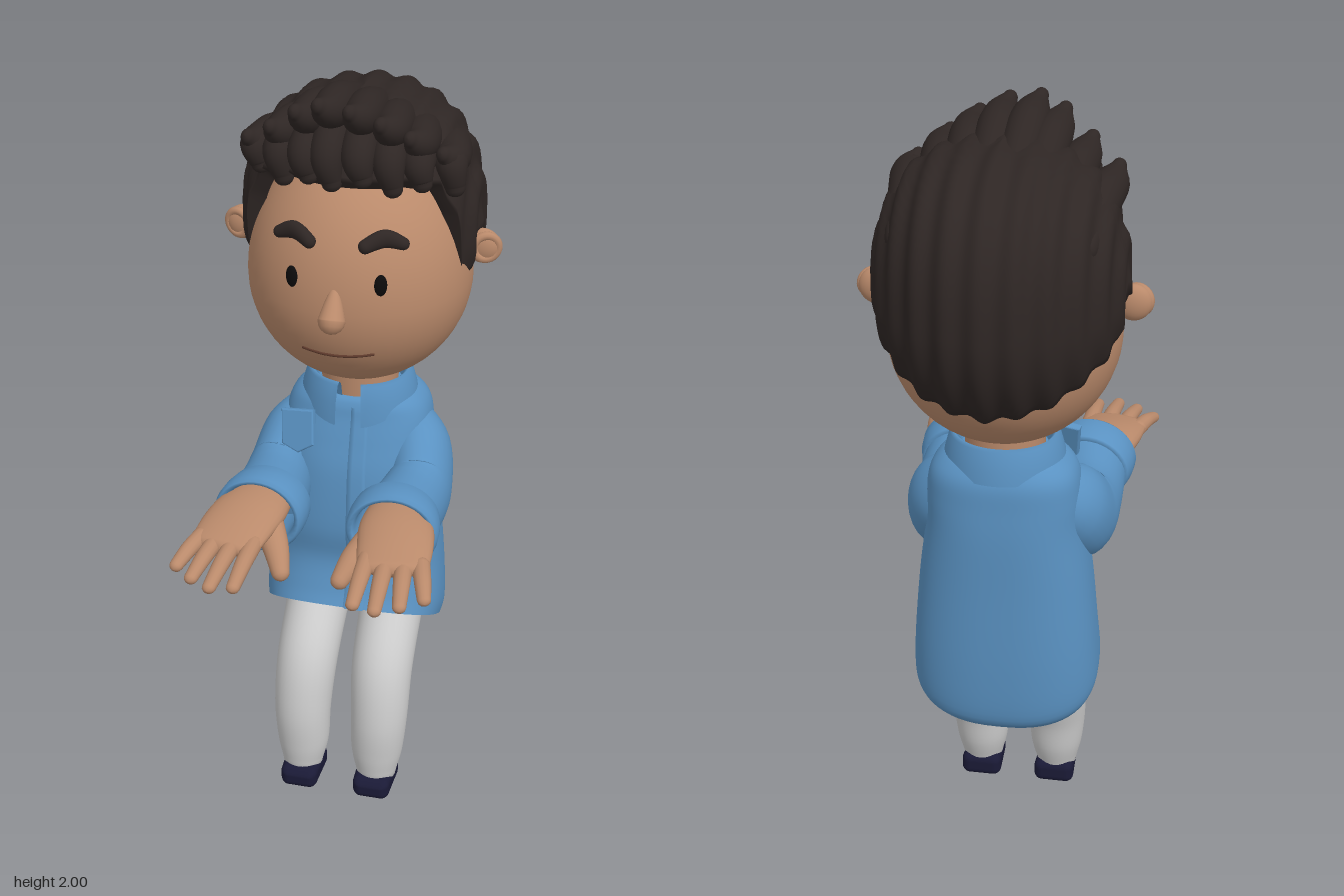
import * as THREE from 'three';
import { RoundedBoxGeometry } from 'three/addons/geometries/RoundedBoxGeometry.js';

const mat = (color, side = THREE.FrontSide) => new THREE.MeshStandardMaterial({ color, side, roughness: 0.8 });
const SKIN = mat(0xba8a6b), HAIR = mat(0x2e2624, THREE.DoubleSide), PANTS = mat(0xcccccc);
const SHIRT = mat(0x5a92c2, THREE.DoubleSide), SHIRT_OUT = mat(0x5a92c2), LINING = mat(0x0a0a0a, THREE.BackSide);
const SHOE = mat(0x1a1a36), DARK = mat(0x0c0b0c), MOUTH = mat(0x5e3a2c);

// Surface from a rule f(u, v) -> [x, y, z]; u can wrap around
function grid(nu, nv, f, wrap = true) {
  const pos = [], idx = [], w = wrap ? nu : nu + 1;
  for (let j = 0; j <= nv; j++) for (let i = 0; i < w; i++) pos.push(...f(i / nu, j / nv));
  for (let j = 0; j < nv; j++) for (let i = 0; i < nu; i++) {
    const a = j * w + i, b = j * w + (i + 1) % w;
    idx.push(a, b, b + w, a, b + w, a + w);
  }
  const g = new THREE.BufferGeometry();
  g.setAttribute('position', new THREE.Float32BufferAttribute(pos, 3));
  g.setIndex(idx);
  g.computeVertexNormals();
  return g;
}

// Smooth interpolation through rows of numbers
function spline(rows, t) {
  const n = rows.length - 1, i = Math.min(Math.floor(t * n), n - 1), k = t * n - i;
  const r = (q) => rows[Math.max(0, Math.min(n, q))];
  return rows[0].map((_, c) => {
    const p0 = r(i - 1)[c], p1 = r(i)[c], p2 = r(i + 1)[c], p3 = r(i + 2)[c], a = (p2 - p0) / 2, b = (p3 - p1) / 2;
    return (2 * p1 - 2 * p2 + a + b) * k ** 3 + (3 * p2 - 3 * p1 - 2 * a - b) * k * k + a * k + p1;
  });
}

// Elliptical sweep through rows [x, y, z, r1, r2]; r1 lies along ref, ends are rounded
function sweep(rows, { seg = 16, sides = 18, caps = true, ref = new THREE.Vector3(1, 0, 0) } = {}) {
  const rings = [], at = (t) => new THREE.Vector3(...spline(rows, t).slice(0, 3));
  const ring = (t, off, s) => {
    const [x, y, z, r1, r2] = spline(rows, t);
    const T = at(Math.min(1, t + 0.01)).sub(at(Math.max(0, t - 0.01))).normalize();
    const N = ref.clone().addScaledVector(T, -ref.dot(T)).normalize(), B = T.clone().cross(N);
    rings.push({ c: new THREE.Vector3(x, y, z).addScaledVector(T, off * Math.min(r1, r2)), N, B, r1: r1 * s, r2: r2 * s });
  };
  const C = [0, 0.25, 0.5, 0.75].map((k) => k * Math.PI / 2);
  if (caps) C.forEach((a) => ring(0, -Math.cos(a), Math.sin(a)));
  for (let i = 0; i <= seg; i++) ring(i / seg, 0, 1);
  if (caps) C.slice().reverse().forEach((a) => ring(1, Math.cos(a), Math.sin(a)));
  return grid(sides, rings.length - 1, (u, v) => {
    const q = rings[Math.round(v * (rings.length - 1))], a = u * Math.PI * 2;
    return q.c.clone().addScaledVector(q.N, q.r1 * Math.cos(a)).addScaledVector(q.B, q.r2 * Math.sin(a)).toArray();
  });
}

const pow = (v, e) => Math.sign(v) * Math.abs(v) ** e;

// Shirt body rows: front y, back y, half width, front z, back z
const TORSO = [
  [0.58, 0.385, 0.235, 0.055, -0.285], [0.62, 0.43, 0.242, 0.035, -0.315], [0.7, 0.58, 0.235, 0.012, -0.325],
  [0.8, 0.8, 0.22, 0.02, -0.325], [0.95, 0.95, 0.2, 0.005, -0.325], [1.04, 1.04, 0.195, -0.02, -0.32],
  [1.1, 1.1, 0.185, -0.04, -0.315], [1.135, 1.135, 0.162, -0.05, -0.3], [1.155, 1.155, 0.125, -0.065, -0.28],
  [1.16, 1.16, 0.07, -0.1, -0.24]];
function torso(a, v) {
  const [yf, yb, hx, zf, zb] = spline(TORSO, v), k = (1 + pow(Math.cos(a), 0.8)) / 2;
  return [hx * pow(Math.sin(a), 0.8), yb + (yf - yb) * k, zb + (zf - zb) * k];
}

// Head ellipsoid: taller above its widest line than below
const HEAD = { y: 1.48, z: -0.17, rx: 0.285, rz: 0.29 };
const headRy = (dy) => (dy > 0 ? 0.345 : 0.285);
const headZ = (x, y) => {
  const dy = y - HEAD.y;
  return HEAD.z + HEAD.rz * Math.sqrt(Math.max(0, 1 - (x / HEAD.rx) ** 2 - (dy / headRy(dy)) ** 2));
};

// Hairline: azimuth from the front and polar angle, in degrees
const HAIRLINE = [[0, 62], [35, 62], [52, 66], [60, 80], [67, 104], [77, 107], [82, 92], [95, 90], [102, 106], [120, 114], [145, 127], [180, 134]];
function hairline(deg) {
  const i = Math.max(1, HAIRLINE.findIndex((p) => p[0] >= deg - 1e-6)), [a, p] = HAIRLINE[i - 1], [b, q] = HAIRLINE[i];
  return p + (q - p) * (deg - a) / (b - a);
}
function hairCap(u, v) {
  const a = u * Math.PI * 2, deg = Math.abs(u > 0.5 ? u * 360 - 360 : u * 360);
  const tuck = v < 0.03, w = tuck ? 0 : (v - 1 / 30) / (29 / 30);
  const p = THREE.MathUtils.degToRad(hairline(deg)) * (1 - w);
  const e = p < Math.PI / 2 ? 0.8 : 1, s = pow(Math.sin(p), e), c = pow(Math.cos(p), e);
  const dx = s * Math.sin(a), dz = s * Math.cos(a);
  const ridge = 1 + 0.018 * Math.cos(Math.asin(THREE.MathUtils.clamp(dx, -1, 1)) * 24);
  const k = tuck ? 0.86 : ridge;
  return [0.302 * dx * k, 1.6 + 0.345 * c * k, -0.2 + (dz > 0 ? 0.255 : 0.35) * dz * k];
}

export function createModel() {
  const model = new THREE.Group();
  const add = (name, geo, material, parent = model) => {
    const m = new THREE.Mesh(geo, material);
    m.name = name;
    parent.add(m);
    return m;
  };
  const up = new THREE.Vector3(0, 1, 0);

  // Head and face
  add('head', grid(48, 32, (u, v) => {
    const a = u * Math.PI * 2, p = Math.PI * (1 - v), c = Math.cos(p), s = Math.sin(p);
    return [HEAD.rx * s * Math.sin(a), HEAD.y + headRy(c) * c, HEAD.z + HEAD.rz * s * Math.cos(a)];
  }), SKIN);
  add('nose', sweep([[0, 1.54, 0.105, 0.012, 0.012], [0, 1.505, 0.122, 0.025, 0.025], [0, 1.475, 0.136, 0.034, 0.037]]), SKIN);
  add('mouth', sweep([-0.085, -0.04, 0.005, 0.05, 0.09].map((x) => {
    const y = 1.358 + x * x;
    return [x, y, headZ(x, y), 0.004, 0.004];
  }), { sides: 8, ref: up }), MOUTH);
  add('neck', new THREE.CylinderGeometry(0.1, 0.1, 0.17, 32), SKIN).position.set(0, 1.165, -0.17);

  // Hair: ridged cap and swept front locks
  add('hairCap', grid(180, 30, hairCap), HAIR);
  [[-0.24, 1.85], [-0.17, 1.9], [-0.1, 1.955], [-0.04, 1.98], [0.035, 1.97], [0.105, 1.94], [0.17, 1.9], [0.24, 1.85]].forEach(([x, y], i) => {
    const zf = 0.045 - 1.7 * x * x;
    add('upperLock', sweep([[x * 0.85, y - 0.09, zf - 0.3, 0.04, 0.04], [x * 0.92, y - 0.045, zf - 0.14, 0.05, 0.055],
      [x, y - 0.025, zf - 0.04, 0.042, 0.042], [x - 0.012, y, zf + 0.005, 0.018, 0.02]]), HAIR);
    add('lowerLock', sweep([[x * 0.9, y - 0.07, zf - 0.13, 0.045, 0.05], [x, 1.855 - Math.abs(x) * 0.15, zf - 0.03, 0.042, 0.045],
      [x + 0.015, 1.805 - (i % 2) * 0.015 - Math.abs(x) * 0.12, zf - 0.012, 0.025, 0.022]]), HAIR);
  });

  // Shirt body, dark inside, placket, collar and chest pocket
  const body = grid(64, 48, (u, v) => torso(u * Math.PI * 2, v));
  add('shirtBody', body, SHIRT_OUT);
  add('shirtLining', body, LINING);
  add('placket', grid(8, 40, (u, v) => {
    const b = u === 0 || u === 1 ? -0.003 : 0.006, [x, y, z] = torso(0.005 + 0.2 * u, v * 0.78);
    return [x, y, z + b];
  }, false), SHIRT);
  const COLLAR = [[0.155, 1.115], [0.15, 1.15], [0.137, 1.198], [0.128, 1.204], [0.118, 1.195], [0.105, 1.13]];
  add('collar', grid(56, 5, (u, v) => {
    const a = 0.22 + u * (Math.PI * 2 - 0.44), [r, y] = COLLAR[Math.round(v * 5)];
    const flap = Math.max(0, Math.cos(a) - 0.7) * (v < 0.1 ? 0.09 : 0);
    return [r * Math.sin(a), y - flap, -0.17 + (r - 0.008) * Math.cos(a)];
  }, false), SHIRT);
  const flap = new THREE.Shape([[-0.04, 0.05], [0.04, 0.05], [0.04, -0.035], [0, -0.055], [-0.04, -0.035]].map((p) => new THREE.Vector2(...p)));
  const pocket = add('chestPocket', new THREE.ExtrudeGeometry(flap, { depth: 0.01, bevelSize: 0.004, bevelThickness: 0.006, bevelSegments: 3 }), SHIRT_OUT);
  pocket.position.set(-0.118, 1.088, 0.01);
  pocket.rotation.set(-0.3, -0.15, 0.08);

  // Paired parts: +1 is the model's left
  for (const s of [1, -1]) {
    const side = new THREE.Group();
    side.name = s > 0 ? 'leftSide' : 'rightSide';
    model.add(side);
    const flip = (rows) => rows.map(([x, ...r]) => [x * s, ...r]);
    const limb = (name, rows, m, opt) => add(name, sweep(flip(rows), opt), m, side);

    // Eye, brow and ear
    const eye = add('eye', new THREE.SphereGeometry(1, 20, 14), DARK, side);
    eye.scale.set(0.016, 0.028, 0.01);
    eye.position.set(0.11 * s, 1.56, headZ(0.11, 1.56) + 0.002);
    eye.rotation.y = 0.4 * s;
    limb('eyebrow', [[0.068, 1.652, 0.018], [0.11, 1.667, 0.023], [0.152, 1.651, 0.016]]
      .map(([x, y, r]) => [x, y, headZ(x, y) + 0.01, r, 0.016]), HAIR, { ref: up });
    const ear = add('ear', new THREE.SphereGeometry(1, 24, 16), SKIN, side);
    ear.scale.set(0.045, 0.046, 0.026);
    ear.position.set(0.308 * s, 1.565, -0.182);
    const rim = add('earRim', new THREE.TorusGeometry(0.031, 0.011, 10, 28), SKIN, side);
    rim.position.set(0.318 * s, 1.567, -0.168);
    rim.rotation.y = 0.35 * s;

    // Sleeve and turned-back cuff
    limb('sleeve', [[0.11, 1.04, -0.18, 0.08, 0.08], [0.165, 0.99, -0.14, 0.085, 0.105], [0.185, 0.92, -0.06, 0.085, 0.115],
      [0.18, 0.915, 0.03, 0.092, 0.105], [0.17, 0.94, 0.15, 0.1, 0.092]], SHIRT, { seg: 28, sides: 28, caps: false });
    const cuffShape = [[0.088, 0.01], [0.103, 0], [0.111, 0.008], [0.117, 0.05], [0.117, 0.09], [0.11, 0.102], [0.1, 0.1], [0.094, 0.085], [0.088, 0.01]];
    const cuff = add('cuff', new THREE.LatheGeometry(cuffShape.map((p) => new THREE.Vector2(...p)), 36), SHIRT, side);
    cuff.position.set(0.165 * s, 0.942, 0.125);
    cuff.scale.z = 0.88;
    cuff.quaternion.setFromUnitVectors(up, new THREE.Vector3(0.08 * s, 0.06, 1).normalize());

    // Hand
    limb('palm', [[0.17, 0.962, 0.12, 0.07, 0.048], [0.185, 0.968, 0.22, 0.092, 0.044], [0.2, 0.965, 0.3, 0.094, 0.036],
      [0.212, 0.957, 0.385, 0.088, 0.023]], SKIN, { sides: 28 });
    limb('thumb', [[0.14, 0.958, 0.25, 0.04, 0.032], [0.1, 0.922, 0.315, 0.033, 0.028], [0.075, 0.884, 0.365, 0.023, 0.022]], SKIN);
    [[0.143, 0.147, 0.53], [0.19, 0.203, 0.543], [0.235, 0.257, 0.515], [0.277, 0.308, 0.472]].forEach(([x0, x1, z]) =>
      limb('finger', [[x0, 0.957, 0.36, 0.023, 0.022], [(x0 + x1) / 2, 0.952, (0.36 + z) / 2, 0.021, 0.019],
        [x1, 0.937, z, 0.017, 0.015]], SKIN, { sides: 14 }));

    // Trouser leg and shoe
    limb('trouserLeg', [[0.105, 0.068, 0.062, 0.058, 0.058], [0.105, 0.13, 0.056, 0.071, 0.07], [0.108, 0.24, 0.046, 0.078, 0.078],
      [0.105, 0.37, 0, 0.083, 0.085], [0.103, 0.48, -0.11, 0.086, 0.095], [0.1, 0.56, -0.19, 0.095, 0.1]],
    PANTS, { seg: 30, sides: 28 });
    const shoe = new RoundedBoxGeometry(0.11, 0.066, 0.14, 5, 0.022), p = shoe.attributes.position;
    for (let i = 0; i < p.count; i++) {
      const t = Math.max(0, p.getZ(i) / 0.07);
      p.setX(i, p.getX(i) * (1 - 0.15 * t * t));
      if (p.getY(i) > 0) p.setY(i, p.getY(i) * (1 - 0.4 * t ** 3));
    }
    shoe.computeVertexNormals();
    add('shoe', shoe, SHOE, side).position.set(0.103 * s, 0.033, 0.07);
  }
  return model;
}
